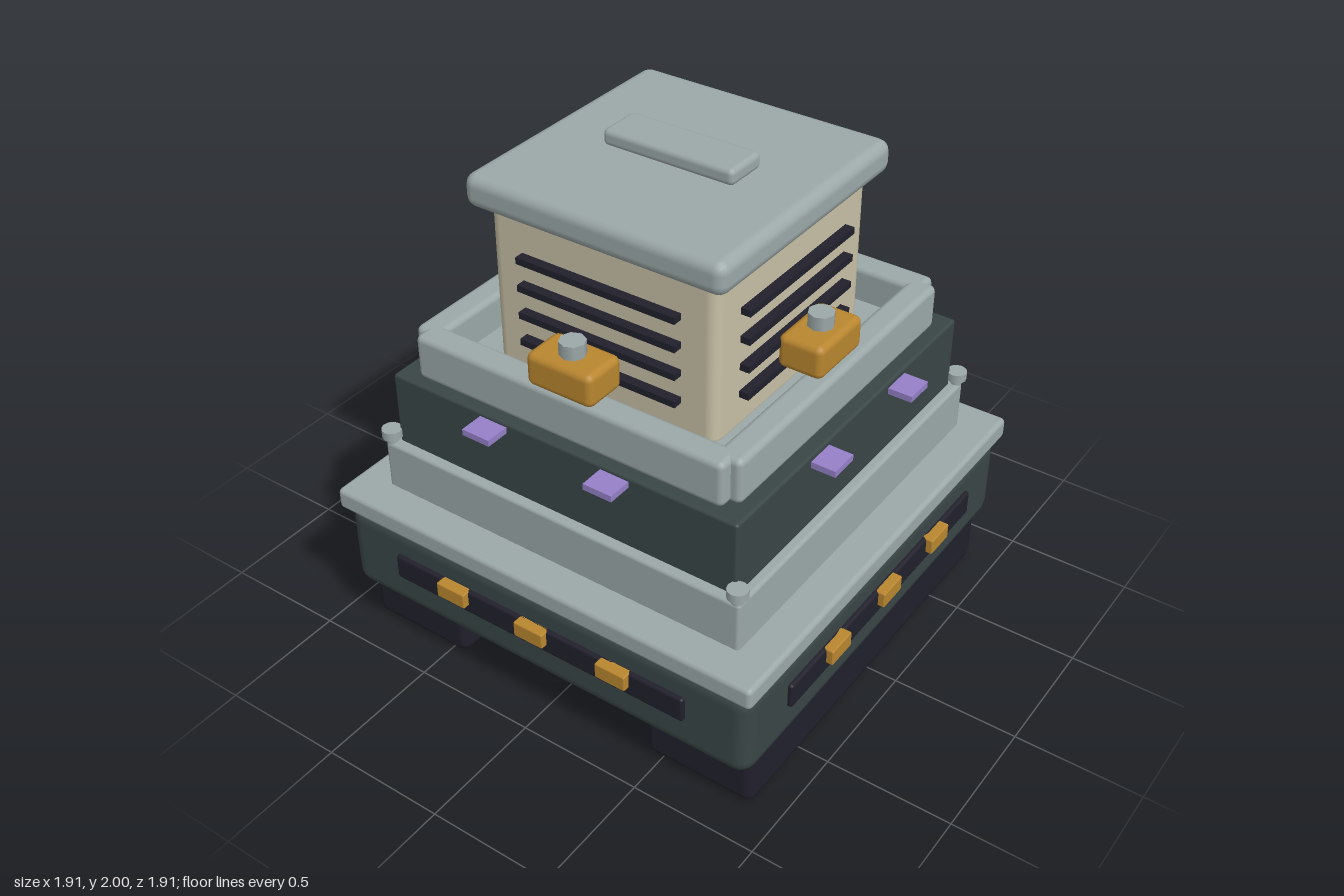
import * as THREE from 'three';
import { RoundedBoxGeometry } from 'three/addons/geometries/RoundedBoxGeometry.js';

const material = (name, color) => {
  const m = new THREE.MeshStandardMaterial({ color });
  m.name = name;
  return m;
};

export function createModel() {
  const grey = material('light grey', 0x9ca8a8);
  const slate = material('dark slate', 0x3a4646);
  const black = material('near black', 0x21202c);
  const cream = material('cream', 0xc8c0a6);
  const amber = material('amber', 0xb9862f);
  const violet = material('violet', 0x9580c8);

  const model = new THREE.Group();
  model.name = 'steppedVehicle';

  // Box given by its size, centre x and z, and bottom and top heights
  function box(parent, name, mat, [w, d], [y0, y1], x = 0, z = 0, bevel = 0.015) {
    const h = y1 - y0;
    const geometry = bevel > 0
      ? new RoundedBoxGeometry(w, h, d, 2, bevel)
      : new THREE.BoxGeometry(w, h, d);
    const mesh = new THREE.Mesh(geometry, mat);
    mesh.name = name;
    mesh.position.set(x, (y0 + y1) / 2, z);
    parent.add(mesh);
    return mesh;
  }

  function knob(parent, name, radius, y0, y1, x, z, sides) {
    const mesh = new THREE.Mesh(new THREE.CylinderGeometry(radius, radius, y1 - y0, sides), grey);
    mesh.name = name;
    mesh.position.set(x, (y0 + y1) / 2, z);
    parent.add(mesh);
  }

  // Treads
  for (const side of [-1, 1]) {
    box(model, side > 0 ? 'leftTread' : 'rightTread', black, [0.46, 1.675], [0, 0.29], side * 0.657, 0, 0.04);
  }

  // Stacked hull
  box(model, 'lowerHull', slate, [1.82, 1.82], [0.2, 0.575], 0, 0, 0.065);
  box(model, 'deckPlate', grey, [1.857, 1.857], [0.565, 0.655], 0, 0, 0.02);
  box(model, 'deckStep', grey, [1.575, 1.575], [0.64, 0.855], 0, 0, 0.015);
  box(model, 'upperHull', slate, [1.495, 1.495], [0.84, 1.15], 0, 0, 0.012);

  // Cabin, roof and handle
  box(model, 'trayFloor', grey, [1.22, 1.22], [1.14, 1.19], 0, 0, 0);
  box(model, 'cabin', cream, [0.95, 0.95], [1.155, 1.83], 0, 0, 0.045);
  box(model, 'roof', grey, [1.072, 1.072], [1.81, 1.94], 0, 0, 0.045);
  box(model, 'roofHandle', grey, [0.546, 0.18], [1.935, 2], 0, 0, 0.022);

  // Details repeated on the four sides; local +z points outwards
  for (const [i, sideName] of ['front', 'left', 'back', 'right'].entries()) {
    const side = new THREE.Group();
    side.name = sideName + 'Details';
    side.rotation.y = i * Math.PI / 2;
    model.add(side);

    // Tray wall: front and back ones run a little further out
    const wallZ = i % 2 ? 0.645 : 0.653;
    box(side, 'trayWall', grey, [1.32, 0.11], [1.148, 1.33], 0, wallZ, 0.025);

    // Running light strip
    box(side, 'lightStrip', black, [1.312, 0.05], [0.355, 0.46], 0, 0.903, 0.012);
    for (const x of [-0.365, 0, 0.365]) {
      box(side, 'runningLight', amber, [0.13, 0.05], [0.395, 0.46], x, 0.93, 0.006);
    }

    // Small violet fins
    for (const x of [-0.263, 0.263]) {
      box(side, 'fin', violet, [0.118, 0.096], [1.125, 1.15], x, 0.81, 0);
    }

    // Vent slots
    for (let k = 0; k < 4; k++) {
      const y = 1.655 - k * 0.1115;
      box(side, 'ventSlot', black, [0.667, 0.05], [y - 0.013, y + 0.013], 0, 0.488, 0);
    }

    // Lamp on the tray wall
    const lampZ = [0.63, 0.588, 0.63, 0.667][i];
    box(side, 'lamp', amber, [0.28, 0.18], [1.333, 1.466], 0, lampZ, 0.028);
    knob(side, 'lampKnob', 0.049, 1.46, 1.52, 0, lampZ, 8);

    // Corner post with a wider cap
    knob(side, 'cornerPost', 0.022, 0.85, 0.88, 0.767, 0.767, 12);
    knob(side, 'cornerCap', 0.039, 0.875, 0.91, 0.767, 0.767, 12);
  }

  return model;
}
